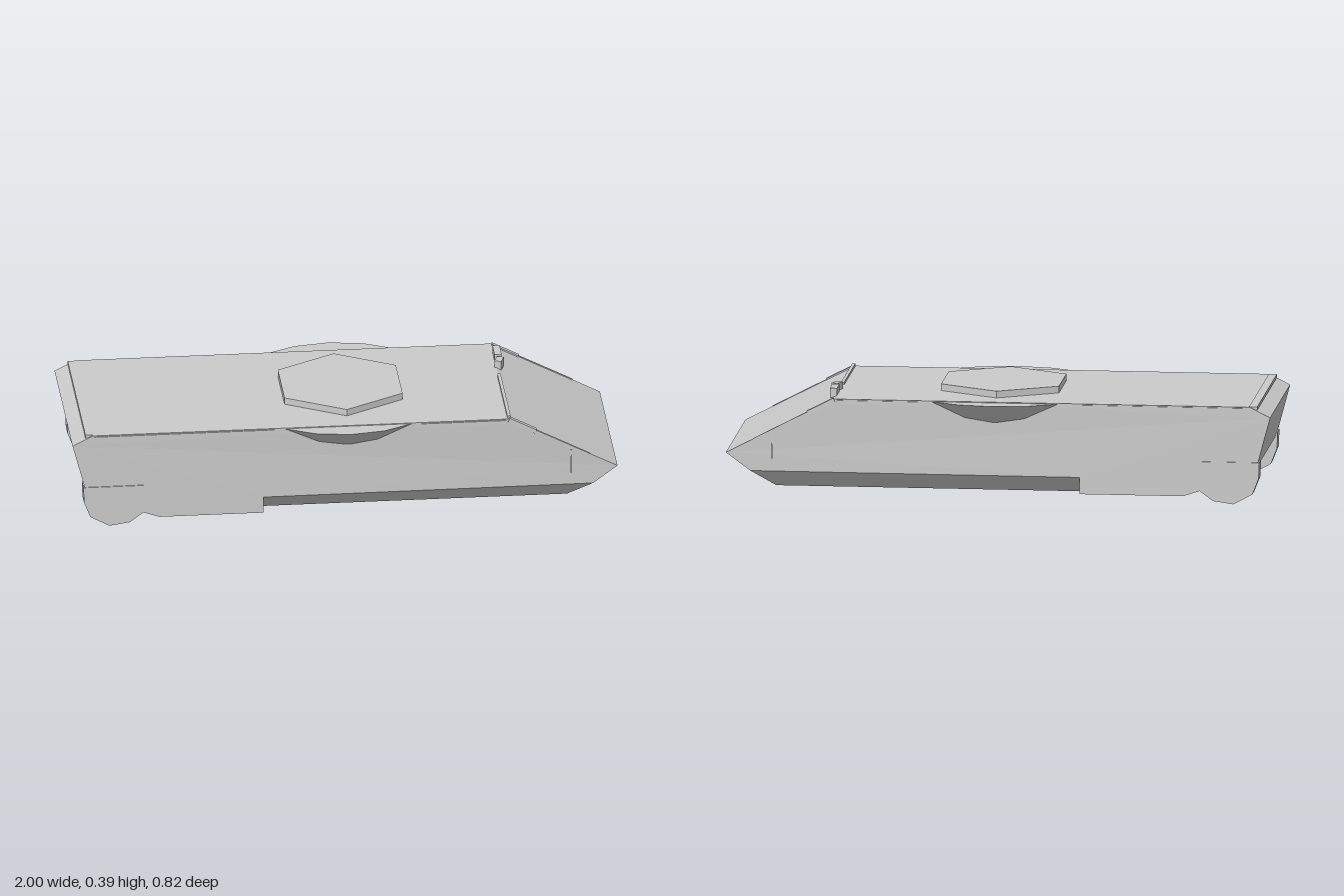
import * as THREE from 'three';

const material = new THREE.MeshStandardMaterial({ color: 0xcccccc, flatShading: true });
const HALF = 0.336; // half width of the hull

function add(group, name, geometry, x = 0, y = 0, z = 0) {
  const mesh = new THREE.Mesh(geometry, material);
  mesh.name = name;
  mesh.position.set(x, y, z);
  group.add(mesh);
  return mesh;
}

// Side profile (x, y) extruded across z, centred on z = 0
function profile(points, width) {
  const shape = new THREE.Shape(points.map(([x, y]) => new THREE.Vector2(x, y)));
  const geometry = new THREE.ExtrudeGeometry(shape, { depth: width, bevelEnabled: false });
  return geometry.translate(0, 0, -width / 2);
}

// Apply a rule to every vertex
function reshape(geometry, rule) {
  const p = geometry.attributes.position;
  const v = new THREE.Vector3();
  for (let i = 0; i < p.count; i++) {
    rule(v.fromBufferAttribute(p, i));
    p.setXYZ(i, v.x, v.y, v.z);
  }
  geometry.computeVertexNormals();
  return geometry;
}

export function createModel() {
  const model = new THREE.Group();
  model.name = 'armouredVehicle';

  // Main hull, narrowing a little at the nose
  const hull = profile([
    [-1, 0.327], [-0.95, 0.14], [-0.74, 0.05], [-0.68, 0.03], [-0.3, 0.03],
    [-0.3, 0.092], [0.91, 0.092], [1, 0.158], [0.6, 0.365], [-0.925, 0.365],
  ], HALF * 2);
  add(model, 'hull', reshape(hull, (v) => { if (v.x > 0.9) v.z *= 0.98; }));

  // Lower hull with chamfered sides and a raked front
  const keel = new THREE.BoxGeometry(1, 1, 1);
  add(model, 'lowerHull', reshape(keel, (v) => {
    const top = v.y > 0;
    const front = v.x > 0;
    v.x = front ? (top ? 0.91 : 0.82) : -0.3;
    v.y = top ? 0.092 : 0.03;
    v.z = Math.sign(v.z) * (top ? (front ? HALF * 0.98 : HALF) : 0.277);
  }));

  // Conical turret ring bulging past both hull sides
  add(model, 'turretRing', new THREE.CylinderGeometry(0.41, 0.336, 0.072, 20), 0.012, 0.326, 0);
  // Hexagonal roof plate
  add(model, 'turretPlate', new THREE.CylinderGeometry(0.25, 0.25, 0.035, 6), 0.015, 0.3725, 0);

  // Rear deck ridge
  add(model, 'rearRidge', new THREE.BoxGeometry(0.03, 0.012, 0.66), -0.937, 0.36, 0);
  // Lip where the roof meets the sloped front
  add(model, 'frontLip', new THREE.BoxGeometry(0.012, 0.02, 0.375), 0.602, 0.364, 0.14);

  const slope = Math.atan2(0.158 - 0.365, 0.4);
  for (const side of [1, -1]) {
    // Rear drive housings
    const housing = profile([
      [-0.96, 0.16], [-0.958, 0.1], [-0.935, 0.042], [-0.865, 0.004],
      [-0.79, 0.015], [-0.74, 0.052], [-0.74, 0.16],
    ], 0.063);
    add(model, 'driveHousing', housing, 0, 0, side * 0.308);

    // Roof edge rails, interrupted by the turret ring
    for (const [x0, x1] of [[-0.92, -0.26], [0.28, 0.59]]) {
      add(model, 'roofRail', new THREE.BoxGeometry(x1 - x0, 0.014, 0.012),
        (x0 + x1) / 2, 0.354, side * 0.334);
    }
    // Sloped front edge guards
    const guard = add(model, 'frontGuard', new THREE.BoxGeometry(0.11, 0.016, 0.02), 0.65, 0.336, side * 0.329);
    guard.rotation.z = slope;
    const strip = add(model, 'frontStrip', new THREE.BoxGeometry(0.22, 0.008, 0.01), 0.8, 0.259, side * 0.33);
    strip.rotation.z = slope;
    // Upright side seam near the nose
    add(model, 'sideSeam', new THREE.BoxGeometry(0.005, 0.09, 0.006), 0.83, 0.185, side * 0.333);
  }

  // Small sight blocks on the roof edge
  for (const [z, turn] of [[-0.24, 0], [-0.2, 0], [-0.14, -0.35]]) {
    const sight = add(model, 'sightBlock', new THREE.BoxGeometry(0.026, 0.034, 0.042), 0.612, 0.374, z);
    sight.rotation.y = turn;
  }

  return model;
}
